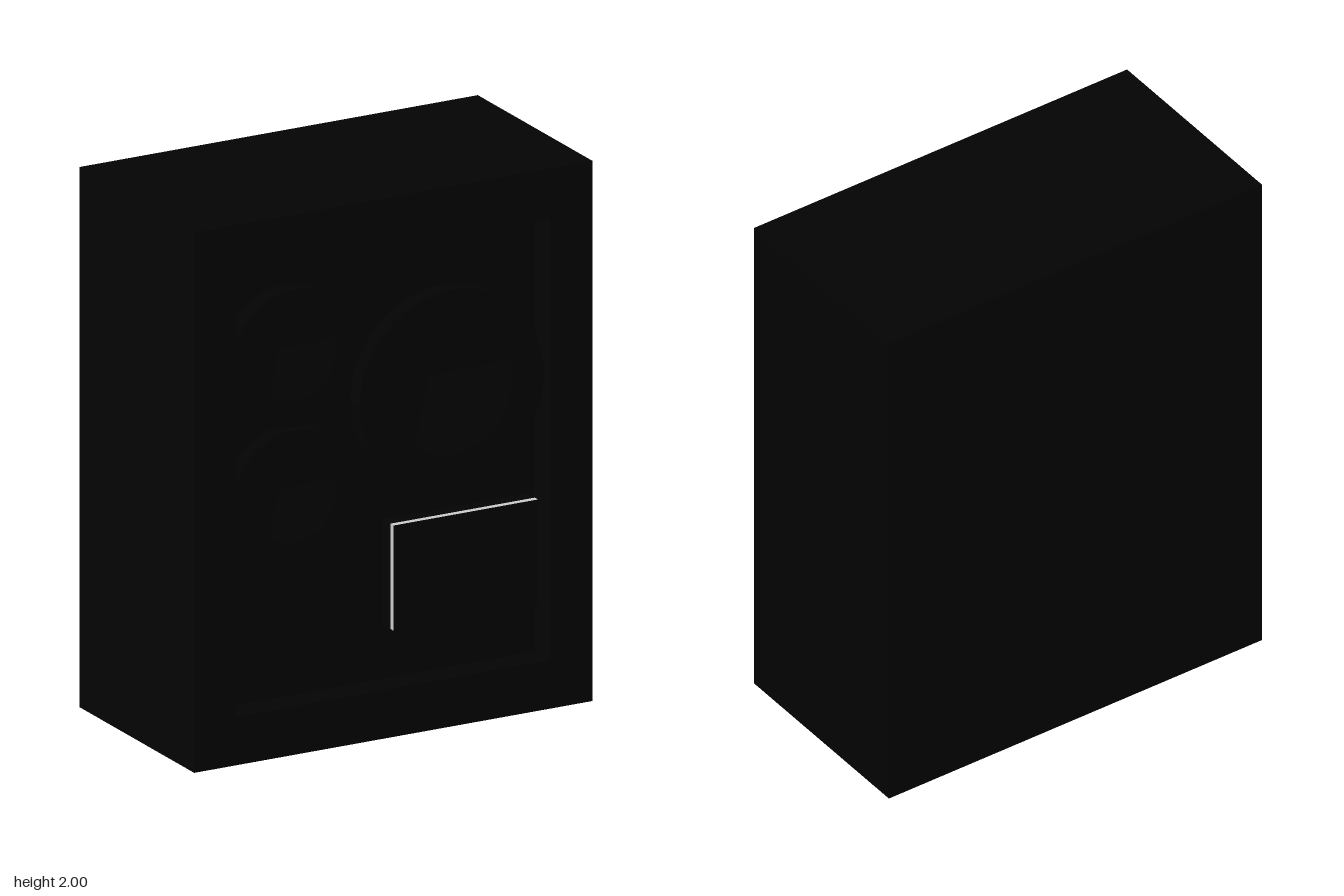
import * as THREE from 'three';

const black = new THREE.MeshStandardMaterial({ color: 0x030303 });
const light = new THREE.MeshStandardMaterial({ color: 0xcccccc });

// x, y, outer radius, inner radius, z of the funnel tip
const DRIVERS = [
  { name: 'upperSmallDriver', x: -0.37, y: 1.45, outer: 0.255, inner: 0.16, tip: 0.25 },
  { name: 'lowerSmallDriver', x: -0.37, y: 0.93, outer: 0.255, inner: 0.16, tip: 0.25 },
  { name: 'largeDriver', x: 0.26, y: 1.23, outer: 0.37, inner: 0.24, tip: 0.2 },
];
const BACK = -0.41, CORE = 0.15, BAFFLE = 0.3, RING = 0.365, FRONT = 0.41;

function rect(Type, x0, y0, x1, y1) {
  return new Type([[x0, y0], [x1, y0], [x1, y1], [x0, y1]].map(([x, y]) => new THREE.Vector2(x, y)));
}

function add(parent, name, geometry, material = black) {
  const mesh = new THREE.Mesh(geometry, material);
  mesh.name = name;
  parent.add(mesh);
  return mesh;
}

// Box given by its bounds
function block(parent, name, x0, x1, y0, y1, z0, z1, material) {
  const mesh = add(parent, name, new THREE.BoxGeometry(x1 - x0, y1 - y0, z1 - z0), material);
  mesh.position.set((x0 + x1) / 2, (y0 + y1) / 2, (z0 + z1) / 2);
}

// Shape extruded along z between two depths
function slab(parent, name, shape, z0, z1) {
  const geometry = new THREE.ExtrudeGeometry(shape, { depth: z1 - z0, bevelEnabled: false, curveSegments: 32 });
  add(parent, name, geometry).position.z = z0;
}

// Raised flat ring around a conical funnel
function driver({ name, x, y, outer, inner, tip }) {
  const group = new THREE.Group();
  group.name = name;
  group.position.set(x, y, 0);
  const ring = new THREE.Shape().absarc(0, 0, outer, 0, Math.PI * 2);
  ring.holes.push(new THREE.Path().absarc(0, 0, inner, 0, Math.PI * 2, true));
  slab(group, 'rim', ring, BAFFLE, RING);
  const profile = [new THREE.Vector2(0, tip), new THREE.Vector2(inner, RING - 0.005)];
  const funnel = new THREE.LatheGeometry(profile, 64);
  funnel.rotateX(Math.PI / 2);
  const cone = black.clone();
  cone.side = THREE.DoubleSide;
  add(group, 'funnel', funnel, cone);
  return group;
}

export function createModel() {
  const model = new THREE.Group();
  model.name = 'speakerCabinet';

  // Solid cabinet body
  block(model, 'cabinetBody', -0.8, 0.8, 0, 2, BACK, CORE);

  // Deep frame around the recessed front
  const frame = rect(THREE.Shape, -0.8, 0, 0.8, 2);
  frame.holes.push(rect(THREE.Path, -0.63, 0.18, 0.63, 1.82));
  slab(model, 'frontFrame', frame, CORE, FRONT);

  // Recessed baffle with an opening behind each driver
  const baffle = rect(THREE.Shape, -0.63, 0.18, 0.63, 1.82);
  for (const d of DRIVERS) {
    baffle.holes.push(new THREE.Path().absarc(d.x, d.y, d.inner, 0, Math.PI * 2, true));
  }
  slab(model, 'baffle', baffle, CORE, BAFFLE);

  for (const d of DRIVERS) model.add(driver(d));

  // Raised plate with a light edge and a dark face
  block(model, 'plateBase', 0.02, 0.6, 0.38, 0.77, BAFFLE, 0.355);
  block(model, 'plateEdge', 0.02, 0.6, 0.38, 0.77, 0.355, 0.378, light);
  block(model, 'plateFace', 0.02, 0.6, 0.38, 0.77, 0.378, 0.381);

  return model;
}
